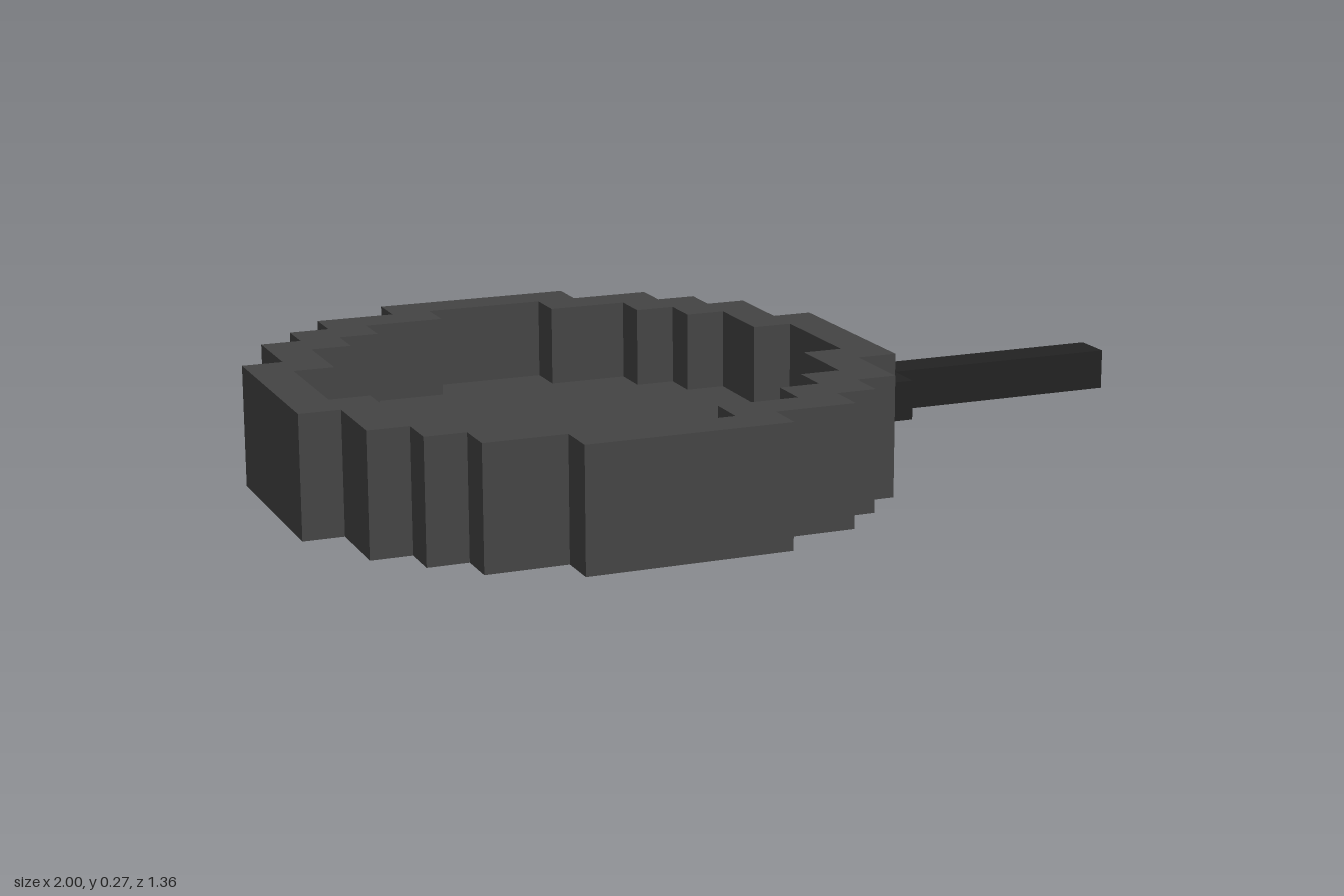
import * as THREE from 'three';

const U = 2 / 22; // one voxel
const CENTRE_X = -3.5 * U; // middle of the pan

// Stepped round outline: one quarter of corners (in voxels), turned four times
function steppedOutline(quarter) {
  const points = [];
  for (let turn = 0; turn < 4; turn++) {
    for (const corner of quarter) {
      let [x, y] = corner;
      for (let i = 0; i < turn; i++) [x, y] = [-y, x];
      points.push(new THREE.Vector2(x * U, y * U));
    }
  }
  return points;
}

function extrudeUp(shape, height) {
  const geometry = new THREE.ExtrudeGeometry(shape, { depth: height, bevelEnabled: false });
  return geometry.rotateX(-Math.PI / 2);
}

export function createModel() {
  const iron = new THREE.MeshStandardMaterial({ color: 0x444444 });
  iron.name = 'castIron';
  const grip = new THREE.MeshStandardMaterial({ color: 0x222222 });
  grip.name = 'darkGrip';

  const model = new THREE.Group();
  model.name = 'fryingPan';

  function add(name, geometry, material, x, y = 0) {
    const mesh = new THREE.Mesh(geometry, material);
    mesh.name = name;
    mesh.position.set(x, y, 0);
    model.add(mesh);
  }

  const outer = steppedOutline([
    [7.5, 2.5], [6.5, 2.5], [6.5, 4.5], [5.5, 4.5], [5.5, 5.5],
    [4.5, 5.5], [4.5, 6.5], [2.5, 6.5], [2.5, 7.5],
  ]);
  const inner = steppedOutline([
    [6.5, 1.5], [5.5, 1.5], [5.5, 3.5], [4.5, 3.5], [4.5, 4.5],
    [3.5, 4.5], [3.5, 5.5], [1.5, 5.5], [1.5, 6.5],
  ]);

  // Pan wall, three voxels high
  const ring = new THREE.Shape(outer);
  ring.holes.push(new THREE.Path(inner));
  add('panWall', extrudeUp(ring, 3 * U), iron, CENTRE_X);

  // Pan floor, one voxel thick
  add('panFloor', extrudeUp(new THREE.Shape(inner), U), iron, CENTRE_X);

  // Handle mount and handle, in the middle layer
  add('handleMount', new THREE.BoxGeometry(U, U, 3 * U), grip, 4.5 * U, 1.5 * U);
  add('handle', new THREE.BoxGeometry(6 * U, U, U), grip, 8 * U, 1.5 * U);

  return model;
}
